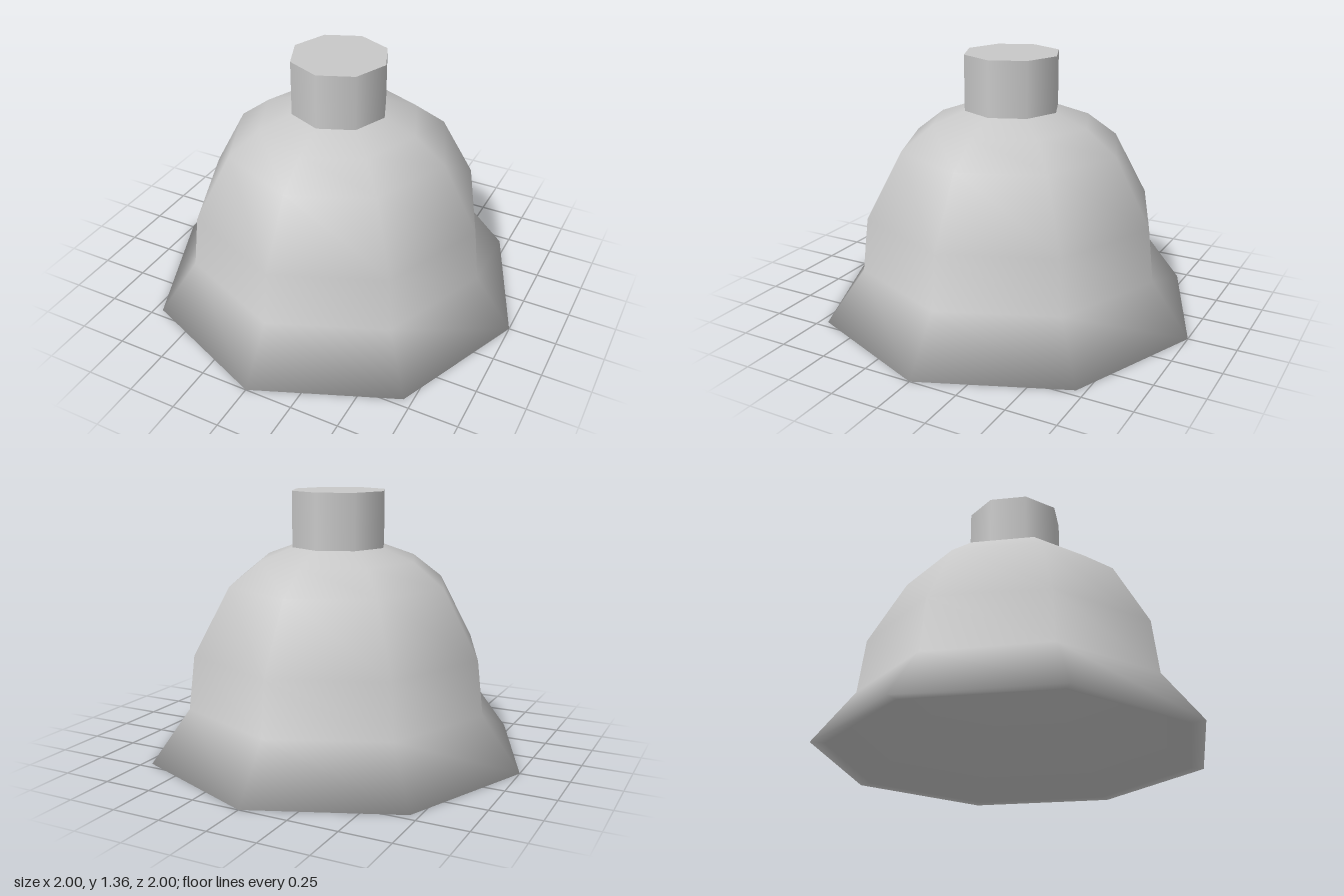
import * as THREE from 'three';

const SIDES = 8;

// Lathe whose normals average the two neighbouring profile segments equally
function smoothLathe(pairs) {
  const points = pairs.map(([r, y]) => new THREE.Vector2(r, y));
  const geometry = new THREE.LatheGeometry(points, SIDES);
  const segments = points.slice(1).map((p, i) => {
    const d = p.clone().sub(points[i]).normalize();
    return new THREE.Vector2(d.y, -d.x);
  });
  const last = segments.length - 1;
  const normals = geometry.attributes.normal;
  for (let i = 0; i <= SIDES; i++) {
    const phi = (i / SIDES) * Math.PI * 2;
    for (let j = 0; j < points.length; j++) {
      const n = segments[Math.max(j - 1, 0)].clone().add(segments[Math.min(j, last)]).normalize();
      normals.setXYZ(i * points.length + j, n.x * Math.sin(phi), n.y, n.x * Math.cos(phi));
    }
  }
  return geometry;
}

export function createModel() {
  const group = new THREE.Group();
  group.name = 'bell';
  const metal = new THREE.MeshStandardMaterial({ color: 0xc8c8c8 });
  metal.name = 'grey metal';

  const add = (name, geometry, y = 0) => {
    const mesh = new THREE.Mesh(geometry, metal);
    mesh.name = name;
    mesh.position.y = y;
    group.add(mesh);
  };

  // Body: conical hollow, lip, flared skirt, waist and rounded shoulder
  add('bellBody', smoothLathe([
    [0, 0.75], [0.93, 0], [1, 0], [0.8, 0.27],
    [0.768, 0.548], [0.582, 0.89], [0.42, 1.014], [0.25, 1.077],
  ]));

  // Stem on the crown
  add('stem', new THREE.CylinderGeometry(0.25, 0.25, 0.288, SIDES), 1.219);

  return group;
}
